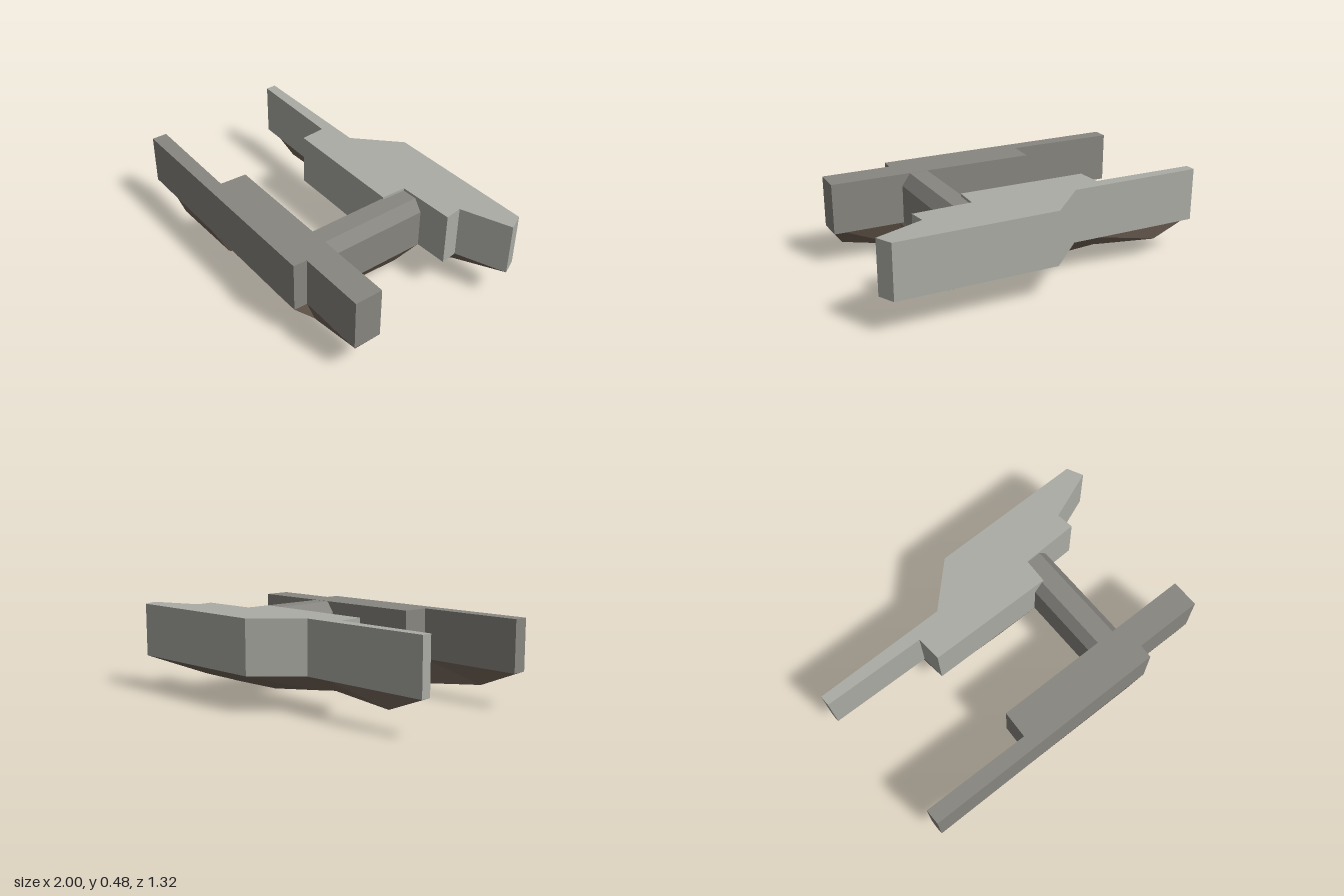
import * as THREE from 'three';

const BASE = 0.19;

// Vertical-walled slab from a plan outline of [x, z] points
function slab(name, outline, top, material) {
  const shape = new THREE.Shape(outline.map(([x, z]) => new THREE.Vector2(x, -z)));
  const geo = new THREE.ExtrudeGeometry(shape, { depth: top - BASE, bevelEnabled: false });
  geo.rotateX(-Math.PI / 2);
  geo.translate(0, BASE, 0);
  const mesh = new THREE.Mesh(geo, material);
  mesh.name = name;
  return mesh;
}

// Faceted keel: each station is [ax, az, bx, bz, keelX, keelY, keelZ]
function keel(name, stations, material) {
  const pos = [];
  const tri = (...pts) => pts.forEach((p) => pos.push(...p));
  const rows = stations.map(([ax, az, bx, bz, kx, ky, kz]) => ({
    a: [ax, BASE, az], b: [bx, BASE, bz], k: [kx, ky, kz],
  }));
  for (let i = 0; i < rows.length - 1; i++) {
    const p = rows[i], q = rows[i + 1];
    tri(p.a, q.a, p.k);
    tri(q.a, q.k, p.k);
    tri(p.b, p.k, q.b);
    tri(q.b, p.k, q.k);
  }
  const geo = new THREE.BufferGeometry();
  geo.setAttribute('position', new THREE.Float32BufferAttribute(pos, 3));
  geo.computeVertexNormals();
  const mesh = new THREE.Mesh(geo, material);
  mesh.name = name;
  return mesh;
}

export function createModel() {
  const group = new THREE.Group();
  group.name = 'floatingPlatforms';
  const mat = (name, color, extra = {}) => {
    const m = new THREE.MeshStandardMaterial({ color, flatShading: true, ...extra });
    m.name = name;
    return m;
  };
  const lightStone = mat('light stone', 0xacaca6);
  const darkStone = mat('dark stone', 0x888680);
  const earth = mat('brown rock', 0x76675a, { side: THREE.DoubleSide });

  // Front platform
  group.add(slab('frontPlatform', [
    [-1, 0.19], [0.295, 0.61], [0.32, 0.54], [0.675, 0.655],
    [0.72, 0.51], [-0.36, 0.16], [-0.41, 0.30], [-0.975, 0.11],
  ], 0.465, darkStone));
  group.add(keel('frontPlatformRock', [
    [-0.975, 0.11, -1, 0.19, -0.99, BASE, 0.15],
    [-0.72, 0.197, -0.75, 0.27, -0.76, 0.09, 0.23],
    [-0.41, 0.30, -0.43, 0.375, -0.37, 0.047, 0.32],
    [-0.36, 0.16, -0.43, 0.375, -0.35, 0.045, 0.31],
    [0, 0.277, -0.08, 0.49, -0.05, 0.04, 0.38],
    [0.26, 0.36, 0.18, 0.575, 0.2, 0, 0.41],
    [0.37, 0.397, 0.295, 0.61, 0.31, 0.03, 0.465],
    [0.38, 0.40, 0.32, 0.54, 0.34, 0.035, 0.475],
    [0.66, 0.49, 0.61, 0.635, 0.63, 0.1, 0.58],
    [0.72, 0.51, 0.675, 0.655, 0.70, BASE, 0.58],
  ], earth));

  // Back platform
  group.add(slab('backPlatform', [
    [-0.815, -0.605], [-0.28, -0.425], [-0.31, -0.29], [0.35, -0.075],
    [0.395, -0.205], [0.70, -0.12], [0.715, -0.215], [1, -0.235],
    [0.985, -0.33], [0.17, -0.58], [-0.10, -0.44], [-0.80, -0.66],
  ], 0.478, lightStone));
  group.add(keel('backPlatformRock', [
    [-0.80, -0.66, -0.815, -0.605, -0.81, BASE, -0.63],
    [-0.60, -0.597, -0.62, -0.54, -0.60, 0.105, -0.57],
    [-0.25, -0.487, -0.28, -0.425, -0.27, 0.135, -0.45],
    [-0.25, -0.487, -0.31, -0.29, -0.26, 0.135, -0.44],
    [-0.10, -0.44, -0.14, -0.235, -0.10, 0.105, -0.35],
    [0.17, -0.58, 0.08, -0.16, 0.12, 0.10, -0.39],
    [0.45, -0.494, 0.35, -0.075, 0.40, 0.105, -0.33],
    [0.45, -0.494, 0.395, -0.205, 0.42, 0.105, -0.32],
    [0.80, -0.387, 0.70, -0.12, 0.64, 0.105, -0.25],
    [0.82, -0.38, 0.715, -0.215, 0.68, 0.115, -0.26],
    [0.985, -0.33, 1, -0.235, 0.99, BASE, -0.28],
  ], earth));

  // Chamfered bridge joining the platforms
  const profile = new THREE.Shape([
    [-0.095, BASE], [0.095, BASE], [0.095, 0.40],
    [0.05, 0.464], [-0.05, 0.464], [-0.095, 0.40],
  ].map(([x, y]) => new THREE.Vector2(x, y)));
  const bridge = new THREE.Mesh(
    new THREE.ExtrudeGeometry(profile, { depth: 0.62, bevelEnabled: false }), darkStone);
  bridge.name = 'bridge';
  bridge.position.set(0.435, 0, -0.215);
  bridge.rotation.y = Math.atan2(-0.165, 0.545);
  group.add(bridge);
  group.add(keel('bridgeRock', [
    [0.17, 0.33, 0.35, 0.39, 0.26, 0.1, 0.36],
    [0.22, 0.17, 0.40, 0.225, 0.31, 0.065, 0.2],
    [0.32, -0.16, 0.50, -0.105, 0.41, 0.055, -0.13],
    [0.34, -0.225, 0.52, -0.17, 0.43, BASE, -0.21],
  ], earth));

  return group;
}
